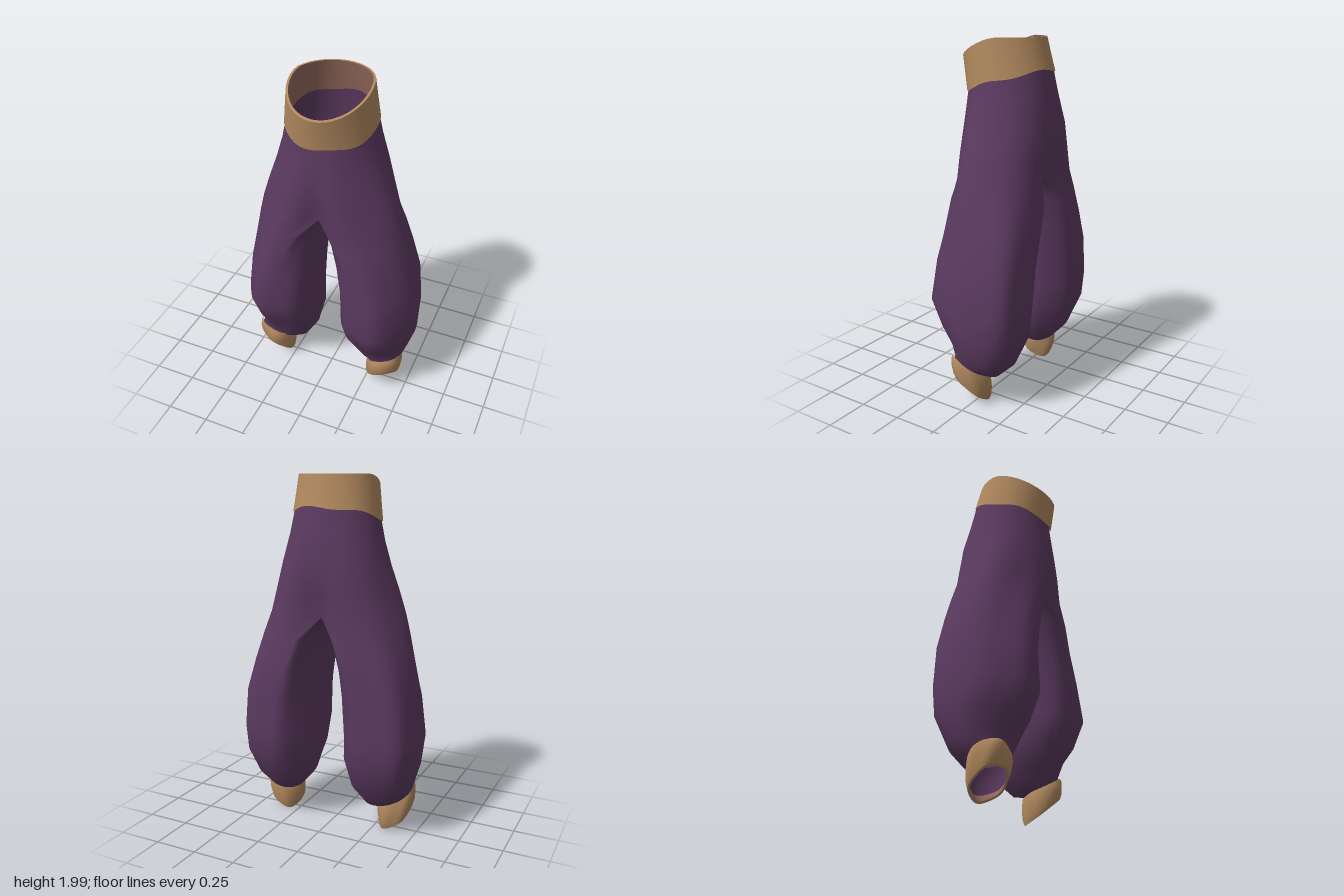
import * as THREE from 'three';
import { mergeVertices, mergeGeometries } from 'three/addons/utils/BufferGeometryUtils.js';

const N = 40; // points around every ring
const pow = (v, e) => Math.sign(v) * Math.abs(v) ** e;
const { lerp, clamp, smoothstep } = THREE.MathUtils;

// One ring of points; t = 0 is the front, then round by way of +x
function ring(point) {
  return Array.from({ length: N }, (_, j) => point((j / N) * Math.PI * 2, j));
}

// Skin rings listed from top to bottom; skip(i, j) leaves faces out
function loft(rings, { flip = false, skip = () => false } = {}) {
  const index = [];
  for (let i = 0; i < rings.length - 1; i++) {
    for (let j = 0; j < N; j++) {
      if (skip(i, j)) continue;
      const k = (j + 1) % N;
      const a = i * N + j, b = a + N, c = (i + 1) * N + k, d = i * N + k;
      index.push(...(flip ? [a, c, b, a, d, c] : [a, b, c, a, c, d]));
    }
  }
  const g = new THREE.BufferGeometry();
  g.setAttribute('position', new THREE.Float32BufferAttribute(rings.flat().flat(), 3));
  g.setIndex(index);
  g.computeVertexNormals();
  return g;
}

// Leg sections: y, inner x, seam x, outer x, front z, back z, z tilt, x tilt, centre groove
const LEG = [
  [1.80, 0, 0, 0.236, 0.231, -0.221, -0.27, 0, 0],
  [1.766, 0, 0, 0.240, 0.227, -0.226, -0.27, 0, 0],
  [1.66, 0, 0, 0.262, 0.238, -0.250, -0.20, 0, 0.02],
  [1.52, 0, 0, 0.303, 0.250, -0.285, -0.08, 0, 0.06],
  [1.38, 0, 0, 0.350, 0.258, -0.290, 0, 0, 0.14],
  [1.25, 0, 0, 0.392, 0.260, -0.290, 0, 0, 0.3],
  [1.13, 0.035, 0.12, 0.425, 0.257, -0.287, 0, 0, 0.2],
  [0.98, 0.065, 0.19, 0.460, 0.258, -0.290, 0, 0, 0.1],
  [0.80, 0.085, 0.27, 0.500, 0.270, -0.292, 0, 0, 0],
  [0.58, 0.093, 0.31, 0.522, 0.290, -0.290, 0, 0, 0],
  [0.43, 0.088, 0.31, 0.518, 0.230, -0.283, 0, 0, 0],
  [0.31, 0.125, 0.32, 0.485, 0.165, -0.205, 0.25, 0.1, 0],
  [0.23, 0.200, 0.345, 0.465, 0.127, -0.125, 0.35, 0.3, 0],
  [0.20, 0.265, 0.36, 0.450, 0.120, -0.060, 0.4, 0.4, 0],
];
const CROTCH = LEG.findIndex(([y]) => y === 1.25);

// Baggy leg with its half of the hips; side is +1 for left, -1 for right
function legGeometry(side) {
  const rings = LEG.map(([y, xi, xs, xo, zf, zb, tz, tx, groove]) => {
    const low = clamp((1.25 - y) / 0.4, 0, 1);
    const bag = low * smoothstep(y, 0.2, 0.45);
    const depth = side > 0 ? 1 : 1 - 0.08 * low;
    const inner = xi * (1 + 0.1 * side);
    const foldAmount = 0.025 * smoothstep(1.766 - y, 0, 0.5) * smoothstep(y, 0.2, 0.4);
    const round = 1 - 0.15 * smoothstep(1.2 - y, 0, 0.4) * smoothstep(y, 0.4, 0.6);
    return ring((t, j) => {
      const s = j % (N / 2) === 0 ? 0 : pow(Math.sin(t), round);
      const fold = 1 + foldAmount * Math.sin(6 * t);
      const x = xs + s * (s > 0 ? xo - xs : xs - inner) * fold;
      let z = (zf + zb) / 2 + ((zf - zb) / 2) * pow(Math.cos(t), round) * fold;
      z *= depth * (1 - groove * Math.exp(-((x / 0.08) ** 2)));
      // the outer side of the bag hangs slightly backwards
      z -= 0.05 * bag * Math.max(s, 0) * Math.abs(Math.sin(t));
      return [side * x, y + tz * z + tx * (x - 0.36), z];
    });
  });
  return loft(rings, { flip: side < 0, skip: (i, j) => i < CROTCH && j >= N / 2 });
}

// Waistband ring: h = 0 at the sloping lower edge, 1 at the dipped upper edge
function waistRing(h, inset = 0) {
  const rx = lerp(0.247, 0.218, h) - inset;
  const rz = lerp(0.233, 0.228, h) - inset;
  const cz = 0.035 * h;
  return ring((t) => {
    const x = 0.007 * h + Math.sin(t) * rx, z = cz + Math.cos(t) * rz;
    const top = 1.998 - 0.12 * Math.max(0, (z + 0.03) / 0.29) ** 1.3;
    const bottom = 1.768 - 0.27 * z + 0.008 * Math.sin(5 * t);
    return [x, lerp(bottom, top, h), z];
  });
}

// Ankle cuff sections: y, x radius, z radius, x tilt, z tilt
const CUFF = [
  [0.230, 0.098, 0.100, 0.40, 0.32],
  [0.203, 0.108, 0.110, 0.42, 0.36],
  [0.160, 0.108, 0.113, 0.45, 0.45],
  [0.115, 0.104, 0.108, 0.48, 0.52],
  [0.086, 0.094, 0.098, 0.50, 0.60],
];
function cuffRing([y, rx, rz, tx, tz], side, inset = 0) {
  return ring((t) => {
    const r = 1 + 0.03 * Math.sin(5 * t + y * 20);
    const x = Math.sin(t) * (rx * r - inset), z = Math.cos(t) * (rz * r - inset);
    return [side * (0.36 + x), y + tx * x + tz * z, 0.032 + z];
  });
}

export function createModel() {
  const purple = new THREE.MeshStandardMaterial({ color: 0x5b3a60, side: THREE.DoubleSide });
  purple.name = 'purple cloth';
  const tan = new THREE.MeshStandardMaterial({ color: 0xb0885e });
  tan.name = 'tan band';
  const brown = new THREE.MeshStandardMaterial({ color: 0x93695c });
  brown.name = 'brown lining';

  const model = new THREE.Group();
  model.name = 'baggyTrousers';
  const add = (name, geometry, material) => {
    const mesh = new THREE.Mesh(geometry, material);
    mesh.name = name;
    model.add(mesh);
  };

  // Both legs, welded along the centre seam
  let cloth = mergeGeometries([legGeometry(1), legGeometry(-1)]);
  cloth.deleteAttribute('normal');
  cloth = mergeVertices(cloth, 1e-4);
  cloth.computeVertexNormals();
  add('trouserLegs', cloth, purple);

  // Waistband and its lining
  const steps = [1, 0.75, 0.5, 0.25, 0];
  add('waistband', loft(steps.map((h) => waistRing(h))), tan);
  add('waistbandRim', loft([waistRing(1, 0.012), waistRing(1)]), tan);
  add('waistbandLining', loft(steps.map((h) => waistRing(h, 0.012)), { flip: true }), brown);

  // Ankle cuffs, open towards the front and outside, cloth showing deep inside
  for (const [side, name] of [[1, 'left'], [-1, 'right']]) {
    const flip = side < 0;
    const end = CUFF[CUFF.length - 1];
    const inside = CUFF.map((c) => cuffRing(c, side, 0.012));
    add(name + 'Cuff', loft(CUFF.map((c) => cuffRing(c, side)), { flip }), tan);
    add(name + 'CuffRim', loft([cuffRing(end, side), cuffRing(end, side, 0.012)], { flip }), tan);
    add(name + 'CuffLining', loft(inside.slice(3), { flip: !flip }), brown);
    add(name + 'CuffInnerCloth', loft(inside.slice(0, 4), { flip: !flip }), purple);
  }
  return model;
}
